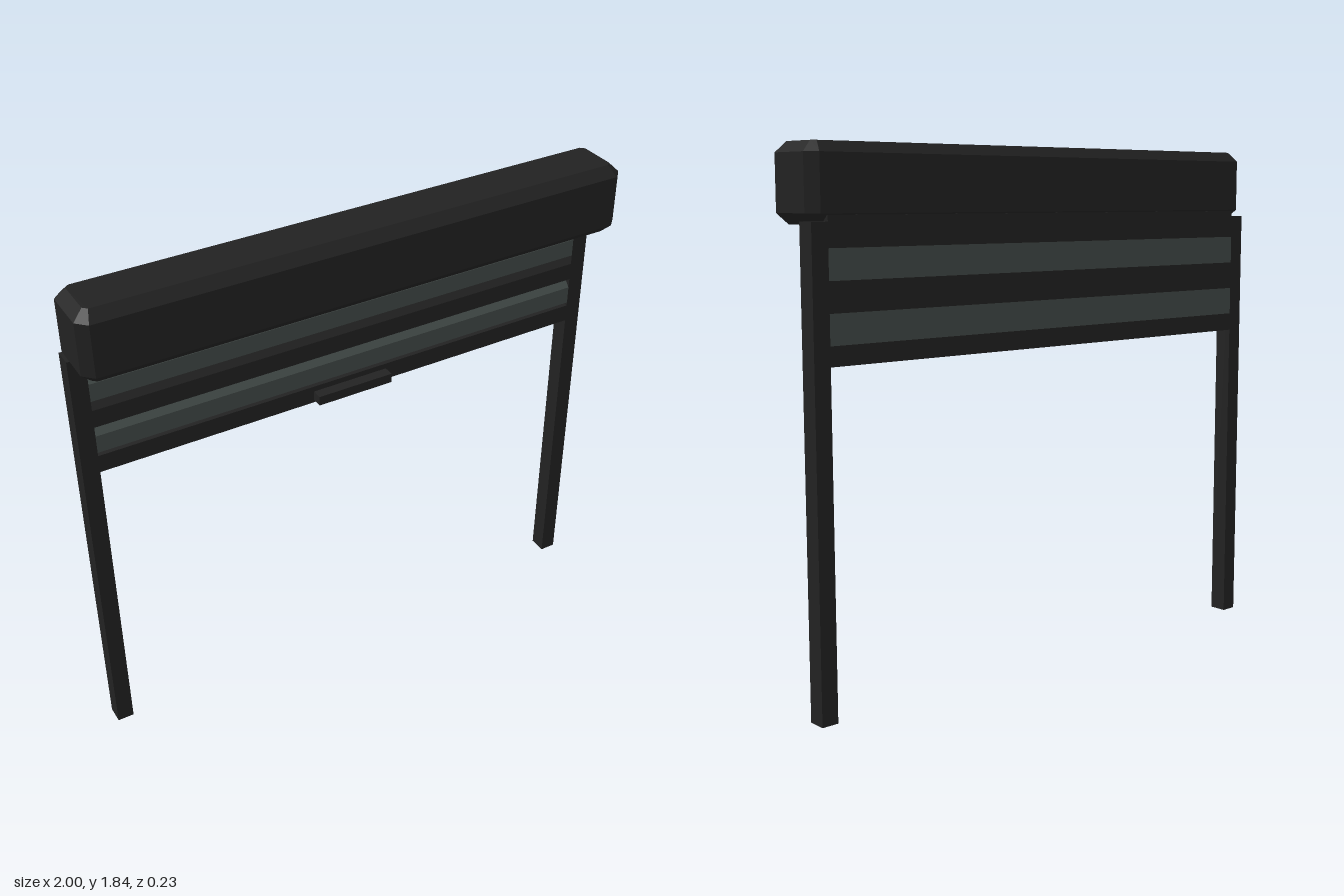
import * as THREE from 'three';

export function createModel() {
  const model = new THREE.Group();
  model.name = 'rollerShutter';

  const darkMetal = new THREE.MeshStandardMaterial({ color: 0x222222 });
  darkMetal.name = 'dark metal';
  const greySlat = new THREE.MeshStandardMaterial({ color: 0x424a48 });
  greySlat.name = 'grey slat';

  const add = (name, geometry, material) => {
    const mesh = new THREE.Mesh(geometry, material);
    mesh.name = name;
    model.add(mesh);
    return mesh;
  };
  // box given by its limits on each axis
  const box = (name, [x0, x1], [y0, y1], [z0, z1], material = darkMetal) =>
    add(name, new THREE.BoxGeometry(x1 - x0, y1 - y0, z1 - z0), material)
      .position.set((x0 + x1) / 2, (y0 + y1) / 2, (z0 + z1) / 2);
  const polygon = (points) => new THREE.Shape(points.map(([x, y]) => new THREE.Vector2(x, y)));

  const back = -0.115, front = -0.05, inner = 0.94;

  // Roll housing: eight-sided plan with chamfered top and bottom rims
  const hx = 1, hz = 0.115, c = 0.035, bottom = 1.58, height = 0.255;
  const plan = polygon([
    [-hx + c, -hz], [hx - c, -hz], [hx, -hz + c], [hx, hz - c],
    [hx - c, hz], [-hx + c, hz], [-hx, hz - c], [-hx, -hz + c],
  ]);
  const housing = new THREE.ExtrudeGeometry(plan, {
    depth: height - 2 * c, bevelEnabled: true, bevelSegments: 1,
    bevelThickness: c, bevelSize: c, bevelOffset: -c,
  });
  housing.rotateX(-Math.PI / 2).translate(0, bottom + c, 0);
  add('housing', housing, darkMetal);

  // Side rails
  box('leftRail', [inner, 1], [0, 1.59], [back, front]);
  box('rightRail', [-1, -inner], [0, 1.59], [back, front]);

  // Slats: flat behind, sloped along the top and bottom of the front
  const slat = (name, y0, y1, material) => {
    const profile = polygon([
      [back, y0], [front - 0.02, y0], [front, y0 + 0.013],
      [front, y1 - 0.022], [front - 0.02, y1], [back, y1],
    ]);
    const geometry = new THREE.ExtrudeGeometry(profile, { depth: 2 * inner, bevelEnabled: false });
    geometry.rotateY(-Math.PI / 2).translate(inner, 0, 0);
    add(name, geometry, material);
  };
  for (let i = 0; i < 4; i++) {
    const y = 1.21 + i * 0.1;
    slat('slat' + (i + 1), y, y + 0.1, i % 2 ? darkMetal : greySlat);
  }

  // Bottom bar with pull handle
  box('bottomBar', [-inner, inner], [1.145, 1.21], [back, front]);
  box('handle', [-0.145, 0.145], [1.155, 1.19], [front, -0.01]);

  return model;
}
